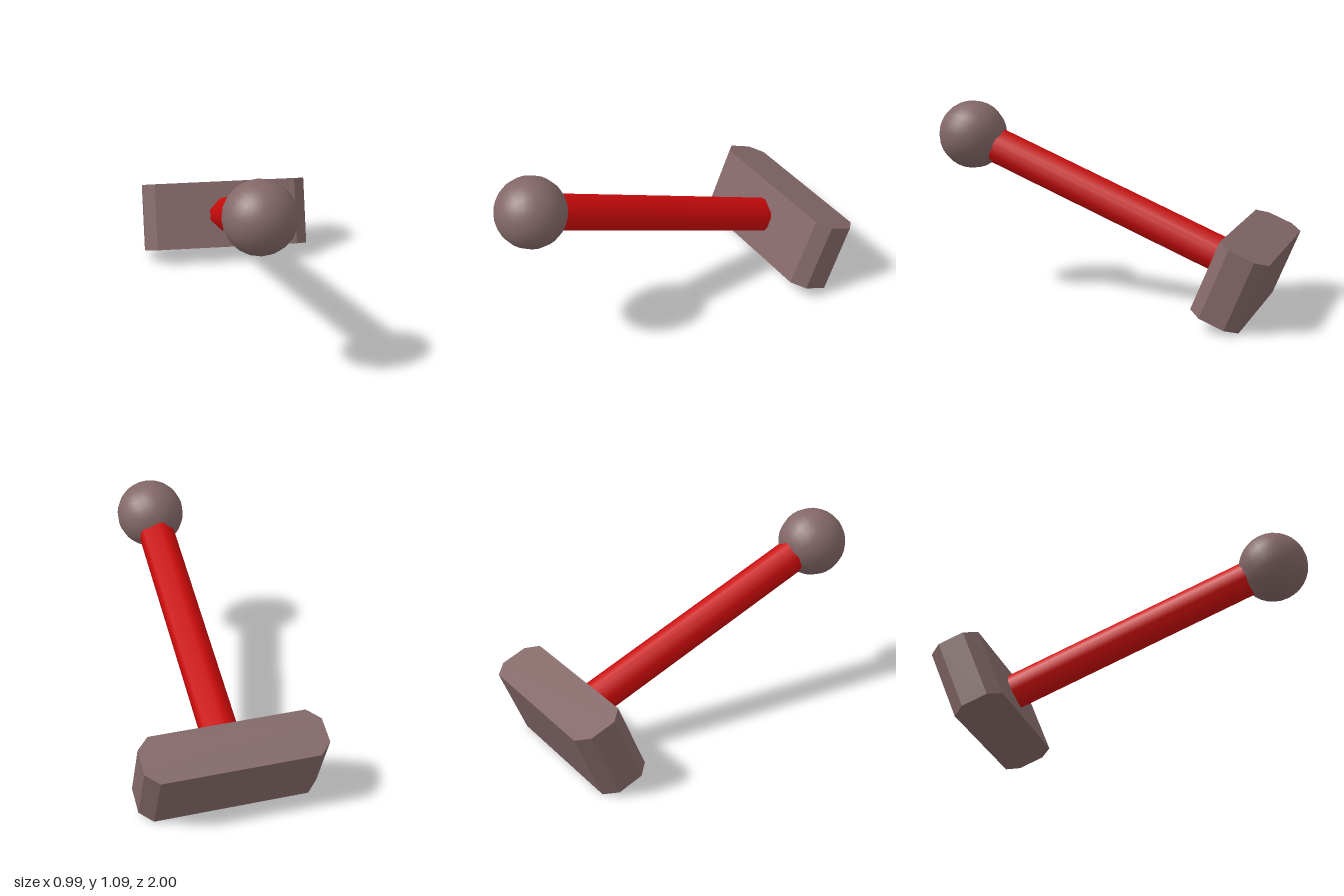
import * as THREE from 'three';

const stone = new THREE.MeshStandardMaterial({ color: 0x836767 });
stone.name = 'dull mauve';
const red = new THREE.MeshStandardMaterial({ color: 0xcc0a0a });
red.name = 'red';

const LENGTH = 1.735; // head centre to ball centre

function part(name, geometry, material, z = 0) {
  const mesh = new THREE.Mesh(geometry, material);
  mesh.name = name;
  mesh.position.z = z;
  return mesh;
}

// Block with its four upright edges chamfered
function headGeometry(halfWidth, halfDepth, height, chamfer) {
  const x = halfWidth, z = halfDepth, c = chamfer;
  const outline = new THREE.Shape([
    [x - c, -z], [x, c - z], [x, z - c], [x - c, z],
    [c - x, z], [-x, z - c], [-x, c - z], [c - x, -z],
  ].map(([a, b]) => new THREE.Vector2(a, b)));
  return new THREE.ExtrudeGeometry(outline, { depth: height, bevelEnabled: false })
    .translate(0, 0, -height / 2)
    .rotateX(-Math.PI / 2);
}

// Smooth rod with unevenly spaced sides, running along z
function handleGeometry(radius, length) {
  const degrees = [18, 36, 90, 108, 162, 198, 252, 270, 324, 342, 378];
  const n = degrees.length - 1;
  const geometry = new THREE.CylinderGeometry(radius, radius, length, n, 1, true);
  const { position, normal } = geometry.attributes;
  for (let i = 0; i < position.count; i++) {
    const a = THREE.MathUtils.degToRad(degrees[i % (n + 1)]);
    position.setXYZ(i, radius * Math.cos(a), radius * Math.sin(a), position.getY(i));
    normal.setXYZ(i, Math.cos(a), Math.sin(a), 0);
  }
  return geometry;
}

export function createModel() {
  const model = new THREE.Group();
  model.name = 'hammer';

  // Tilted so the handle rises toward the front
  const hammer = new THREE.Group();
  hammer.name = 'tiltedHammer';
  hammer.position.set(0, 0.24, -0.795);
  hammer.rotation.x = THREE.MathUtils.degToRad(-22.3);
  model.add(hammer);

  // The open ends of the handle are buried in the head and the ball
  hammer.add(
    part('head', headGeometry(0.494, 0.14, 0.4, 0.068), stone),
    part('handle', handleGeometry(0.102, LENGTH), red, LENGTH / 2),
    part('pommelBall', new THREE.SphereGeometry(0.192, 20, 16).rotateX(Math.PI / 2), stone, LENGTH),
  );
  return model;
}
